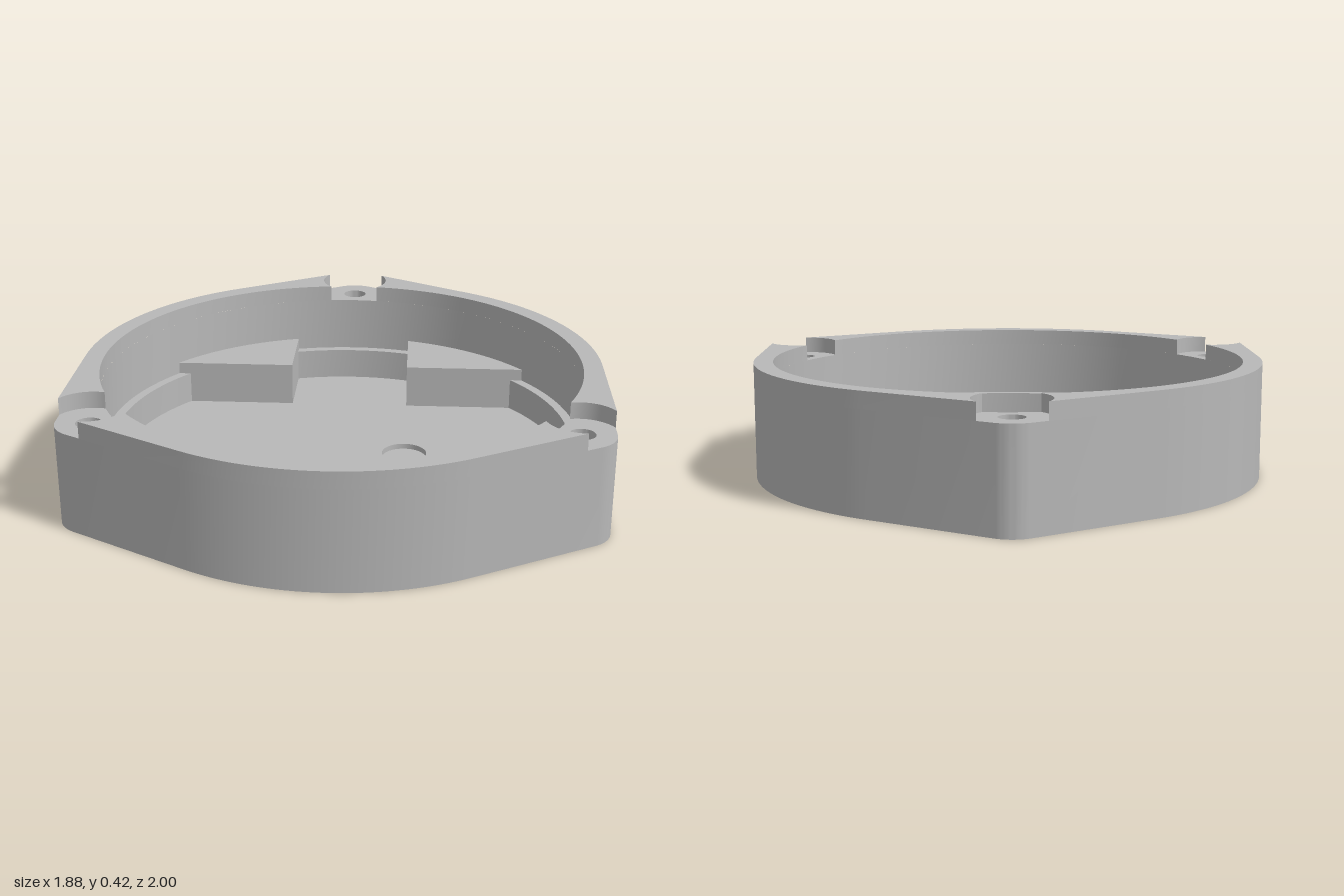
import * as THREE from 'three';
import { mergeGeometries, toCreasedNormals } from 'three/addons/utils/BufferGeometryUtils.js';

// Plan dimensions, measured from the middle of the round cavity
const CZ = 0.065, R_OUT = 0.935, R_RIM = 0.865, R_FLOOR = 0.83;
const BOSS_D = 0.95, R_BOSS = 0.115, R_POCKET = 0.13, R_SCREW = 0.045;
// Heights
const RECESS = 0.01, FLOOR = 0.03, LEDGE = 0.15, BLOCK = 0.195, POCKET = 0.36, TOP = 0.42;
const BOSSES = [90, 210, 330].map(THREE.MathUtils.degToRad);
const STEP = Math.PI * 2 / 3;

// Angles where the tangent sides, pockets and cavity meet
const TAN = Math.acos((R_OUT - R_BOSS) / BOSS_D);
const P_OUT = TAN + Math.acos(R_BOSS / R_POCKET);
const U = (BOSS_D ** 2 + R_RIM ** 2 - R_POCKET ** 2) / (2 * BOSS_D);
const V = Math.sqrt(R_RIM ** 2 - U ** 2);
const P_IN = Math.atan2(V, U - BOSS_D);
const BETA = Math.atan2(V, U);

// Plan points: x to the right, y towards the back
function arc(cx, cy, r, a0, a1, n = 24) {
  return Array.from({ length: n + 1 }, (_, i) => {
    const a = a0 + (a1 - a0) * i / n;
    return new THREE.Vector2(cx + r * Math.cos(a), cy + r * Math.sin(a));
  });
}
const circle = (cx, cy, r, n = 96) => arc(cx, cy, r, 0, Math.PI * 2, n).slice(0, n);
const bossArc = (t, r, a0, a1) =>
  arc(BOSS_D * Math.cos(t), BOSS_D * Math.sin(t), r, t + a0, t + a1, 16);
const bossCircle = (t, r) => circle(BOSS_D * Math.cos(t), BOSS_D * Math.sin(t), r, 32);

// Upright wall along a path; the outside is on the right of the path
function wall(path, y0, y1, closed = true) {
  const pos = [];
  const n = closed ? path.length : path.length - 1;
  for (let i = 0; i < n; i++) {
    const p = path[i], q = path[(i + 1) % path.length];
    const a = [p.x, y0, CZ - p.y], b = [q.x, y0, CZ - q.y];
    const c = [q.x, y1, CZ - q.y], d = [p.x, y1, CZ - p.y];
    pos.push(...a, ...b, ...c, ...a, ...c, ...d);
  }
  const g = new THREE.BufferGeometry();
  g.setAttribute('position', new THREE.Float32BufferAttribute(pos, 3));
  return toCreasedNormals(g, 0.5);
}
const innerWall = (path, y0, y1) => wall([...path].reverse(), y0, y1);

// Flat face at height y, looking up or down
function cap(outline, y, holes = [], down = false) {
  const pts = down ? outline.map(p => new THREE.Vector2(p.x, -p.y)) : outline;
  const shape = new THREE.Shape(pts);
  shape.holes = holes.map(h => new THREE.Path(h));
  const g = new THREE.ShapeGeometry(shape).toNonIndexed();
  g.deleteAttribute('uv');
  return g.rotateX(down ? Math.PI / 2 : -Math.PI / 2).translate(0, y, CZ);
}

export function createModel() {
  const group = new THREE.Group();
  const grey = new THREE.MeshStandardMaterial({ color: 0xb8b8b8 });
  grey.name = 'grey';
  const add = (name, ...geos) => {
    const mesh = new THREE.Mesh(mergeGeometries(geos), grey);
    mesh.name = name;
    group.add(mesh);
  };

  // Outer shell: round body with three tangent corners, and its underside
  const outline = BOSSES.flatMap(t => [
    ...bossArc(t, R_BOSS, -TAN, TAN),
    ...arc(0, 0, R_OUT, t + TAN, t + STEP - TAN, 32),
  ]);
  add('outerShell', wall(outline, 0, POCKET), cap(outline, 0, [], true));

  // Stepped round cavity
  const rim = circle(0, 0, R_RIM), well = circle(0, 0, R_FLOOR);
  add('cavityWall', innerWall(rim, LEDGE, POCKET), innerWall(well, FLOOR, LEDGE));
  add('ledge', cap(rim, LEDGE, [well]));

  // Floor with two shallow round recesses
  const recesses = [circle(0.23, CZ, 0.083, 40), circle(-0.55, CZ - 0.32, 0.083, 40)];
  add('floor', cap(well, FLOOR, recesses));
  for (const c of recesses) add('floorRecess', innerWall(c, RECESS, FLOOR), cap(c, RECESS));

  BOSSES.forEach(t => {
    // Raised rim section between two screw pockets
    const next = t + STEP;
    const section = [
      ...arc(0, 0, R_OUT, t + TAN, next - TAN, 32),
      ...bossArc(next, R_POCKET, -P_OUT, -P_IN),
      ...arc(0, 0, R_RIM, next - BETA, t + BETA, 48),
      ...bossArc(t, R_POCKET, P_IN, P_OUT),
    ];
    add('rimSection', wall(section, POCKET, TOP), cap(section, TOP));

    // Screw seat with a blind hole
    const seat = [
      ...bossArc(t, R_BOSS, -TAN, TAN),
      ...bossArc(t, R_POCKET, P_OUT, P_IN),
      ...arc(0, 0, R_RIM, t + BETA, t - BETA, 8),
      ...bossArc(t, R_POCKET, -P_IN, -P_OUT),
    ];
    const hole = bossCircle(t, R_SCREW);
    add('screwSeat', cap(seat, POCKET, [hole]));
    add('screwHole', innerWall(hole, LEDGE, POCKET), cap(hole, LEDGE));
  });

  // Mirrored pair of support blocks against the back wall
  const bx = 0.23, by = CZ + 0.46;
  const curve = arc(0, 0, R_RIM, Math.asin(by / R_RIM), Math.acos(bx / R_RIM));
  const corner = new THREE.Vector2(bx, by);
  const faces = [curve[curve.length - 1], corner, curve[0]];
  for (const s of [1, -1]) {
    const flip = pts => pts.map(p => new THREE.Vector2(p.x * s, p.y));
    const path = s > 0 ? faces : flip(faces).reverse();
    add('supportBlock', wall(path, FLOOR, BLOCK, false), cap(flip([corner, ...curve]), BLOCK));
  }
  return group;
}
